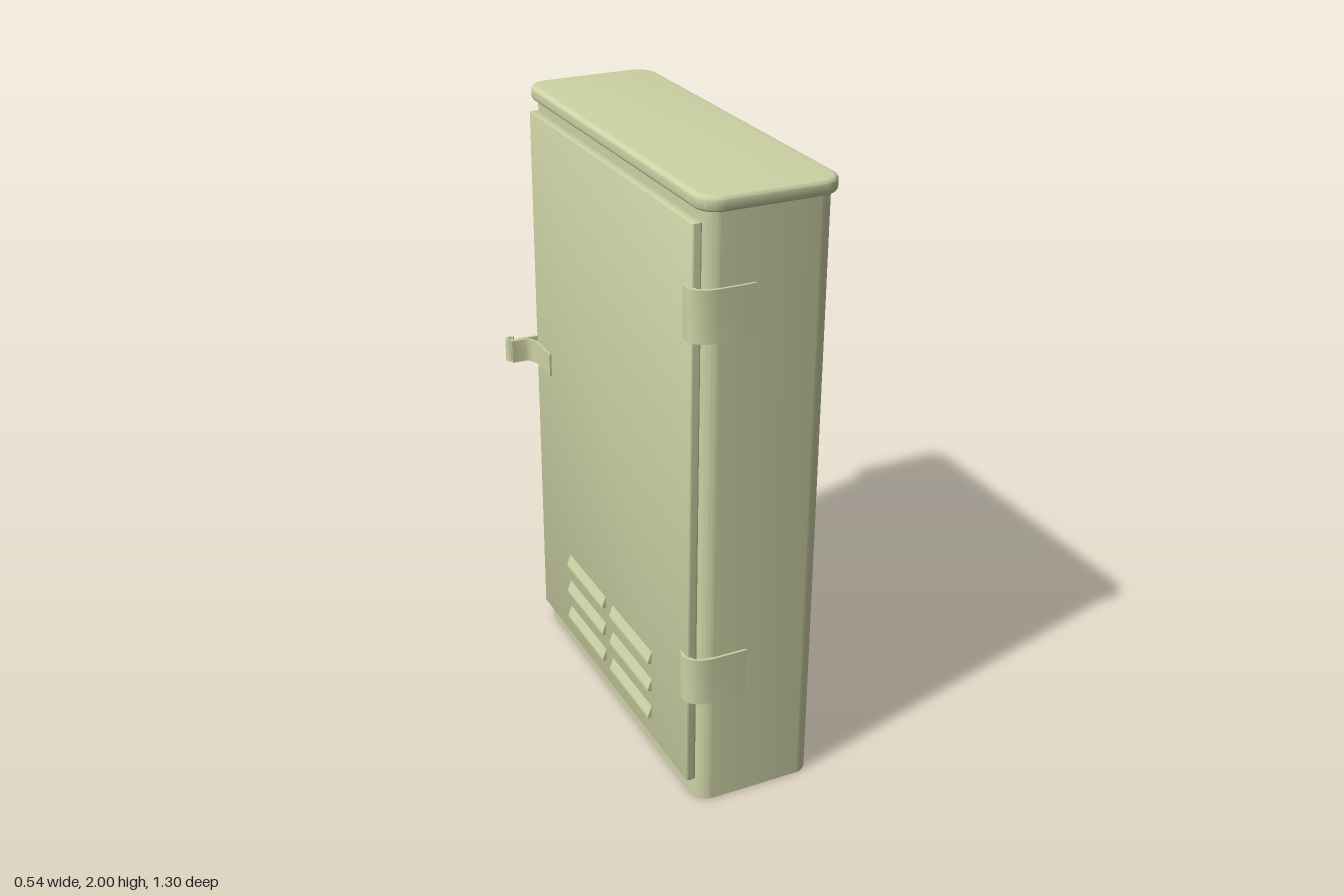
import * as THREE from 'three';
import { toCreasedNormals } from 'three/addons/utils/BufferGeometryUtils.js';

const paint = new THREE.MeshStandardMaterial({ color: 0xcdd2a5, side: THREE.DoubleSide });

// Rounded rectangle in plan; shape y is -z
function plan(x0, x1, z0, z1, r) {
  const s = new THREE.Shape();
  s.absarc(x1 - r, -z0 - r, r, 0, Math.PI / 2);
  s.absarc(x0 + r, -z0 - r, r, Math.PI / 2, Math.PI);
  s.absarc(x0 + r, -z1 + r, r, Math.PI, Math.PI * 1.5);
  s.absarc(x1 - r, -z1 + r, r, Math.PI * 1.5, Math.PI * 2);
  s.closePath();
  return s;
}

// Extrude a plan shape upward from y0 to y1, with an optional rounded edge
function rise(name, shape, y0, y1, bevel = 0) {
  const g = new THREE.ExtrudeGeometry(shape, {
    depth: y1 - y0 - 2 * bevel, curveSegments: 10,
    bevelEnabled: bevel > 0, bevelSize: bevel, bevelThickness: bevel, bevelOffset: -bevel, bevelSegments: 4,
  });
  g.rotateX(-Math.PI / 2).translate(0, y0 + bevel, 0);
  const mesh = new THREE.Mesh(toCreasedNormals(g, 0.6), paint);
  mesh.name = name;
  return mesh;
}

// Bent metal strip: a thickened path of [x, z] points
function strip(points, thickness) {
  const p = points.map(([x, z]) => new THREE.Vector2(x, -z));
  const a = [], b = [];
  p.forEach((v, i) => {
    const d = p[Math.min(i + 1, p.length - 1)].clone().sub(p[Math.max(i - 1, 0)]).normalize();
    const n = new THREE.Vector2(-d.y, d.x).multiplyScalar(thickness / 2);
    a.push(v.clone().add(n));
    b.unshift(v.clone().sub(n));
  });
  return new THREE.Shape([...a, ...b]);
}

export function createModel() {
  const cabinet = new THREE.Group();
  cabinet.name = 'cabinet';

  // Case and overhanging lid
  cabinet.add(rise('case', plan(-0.155, 0.25, -0.61, 0.63, 0.055), 0, 1.96));
  cabinet.add(rise('lid', plan(-0.17, 0.27, -0.64, 0.645, 0.07), 1.953, 2, 0.014));

  // Door on the right-hand side
  cabinet.add(rise('door', plan(-0.181, -0.15, -0.58, 0.6, 0.006), 0.07, 1.92, 0.003));

  // Louvres: wedge hoods that stand out at their lower edge
  const hood = new THREE.Shape([
    new THREE.Vector2(0.178, 0), new THREE.Vector2(0.194, 0),
    new THREE.Vector2(0.194, 0.008), new THREE.Vector2(0.178, 0.052),
  ]);
  const hoodGeometry = new THREE.ExtrudeGeometry(hood, { depth: 0.305, bevelEnabled: false });
  hoodGeometry.rotateY(Math.PI);
  for (const y of [0.145, 0.25, 0.355]) {
    for (const z of [-0.02, 0.342]) {
      const louvre = new THREE.Mesh(hoodGeometry, paint);
      louvre.name = 'louvre';
      louvre.position.set(0, y, z);
      cabinet.add(louvre);
    }
  }

  // Hinges wrapped round the front corner
  const hinge = strip([
    [0, 0.633], [-0.115, 0.633], [-0.145, 0.628], [-0.17, 0.615],
    [-0.183, 0.6], [-0.186, 0.58], [-0.18, 0.555],
  ], 0.01);
  for (const y of [0.375, 1.575]) {
    cabinet.add(rise('hinge', hinge, y, y + 0.16));
    const pin = new THREE.Mesh(new THREE.CylinderGeometry(0.011, 0.011, 0.16, 16), paint);
    pin.name = 'hingePin';
    pin.position.set(-0.177, y + 0.08, 0.595);
    cabinet.add(pin);
  }

  // Latch: hooked bar on the back wall and a bent strap on the door
  const bar = [[-0.01, -0.616], [-0.155, -0.619], [-0.25, -0.62]];
  for (let i = 0; i <= 8; i++) {
    const t = Math.PI / 2 + (i / 8) * Math.PI * 1.35;
    bar.push([-0.256 + 0.014 * Math.cos(t), -0.636 + 0.014 * Math.sin(t)]);
  }
  cabinet.add(rise('latchBar', strip(bar, 0.009), 1.035, 1.115));
  const strap = strip([
    [-0.184, -0.45], [-0.185, -0.565], [-0.19, -0.588],
    [-0.2, -0.602], [-0.215, -0.609], [-0.262, -0.611],
  ], 0.008);
  cabinet.add(rise('latchStrap', strap, 1.035, 1.115));

  return cabinet;
}
